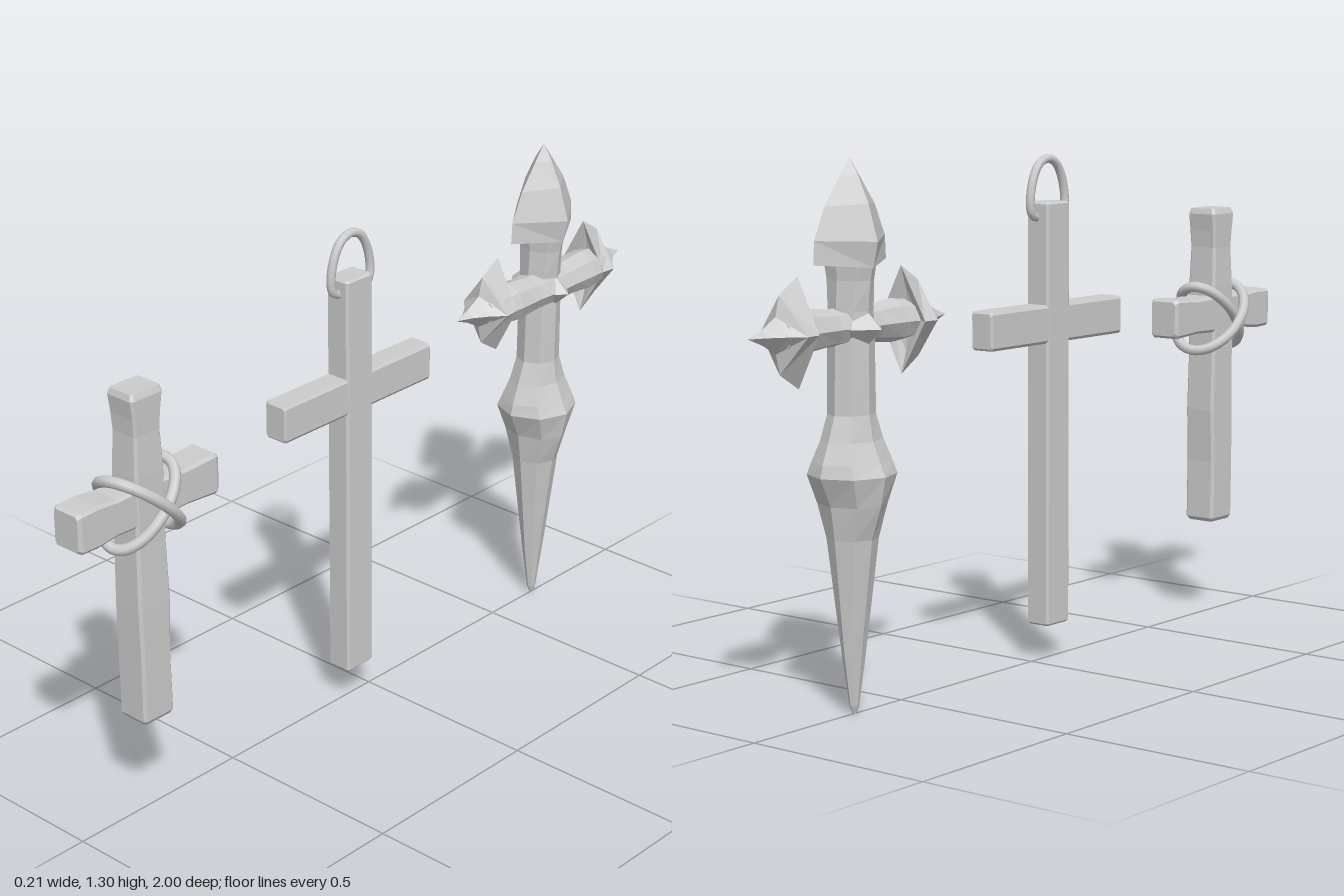
import * as THREE from 'three';

const material = new THREE.MeshStandardMaterial({ color: 0xcccccc, flatShading: true });
const smooth = new THREE.MeshStandardMaterial({ color: 0xcccccc });

const OCTAGON = Array.from({ length: 8 }, (_, i) => [Math.cos(i * Math.PI / 4), Math.sin(i * Math.PI / 4)]);
// Square section with chamfered corners
const BAR = [[1, -0.85], [1, 0.85], [0.85, 1], [-0.85, 1], [-1, 0.85], [-1, -0.85], [-0.85, -1], [0.85, -1]];

function add(parent, name, geometry, mat = material) {
  const mesh = new THREE.Mesh(geometry, mat);
  mesh.name = name;
  parent.add(mesh);
  return mesh;
}

function fromTriangles(points) {
  const g = new THREE.BufferGeometry();
  g.setAttribute('position', new THREE.Float32BufferAttribute(points.flat(), 3));
  g.computeVertexNormals();
  return g;
}

// Skins a section along y; stations are [y, halfX, halfZ, centreX, centreZ]
function loft(section, stations) {
  const rings = stations.map(([y, hx, hz, cx = 0, cz = 0]) =>
    section.map(([x, z]) => [cx + x * hx, y, cz + z * hz]));
  const tris = [];
  const n = section.length;
  for (let j = 0; j < n; j++) {
    const k = (j + 1) % n;
    for (let i = 0; i + 1 < rings.length; i++) {
      const a = rings[i], b = rings[i + 1];
      tris.push(a[j], b[j], a[k], a[k], b[j], b[k]);
    }
    const [y0, , , x0 = 0, z0 = 0] = stations[0];
    const [y1, , , x1 = 0, z1 = 0] = stations[stations.length - 1];
    const top = rings[rings.length - 1];
    tris.push([x0, y0, z0], rings[0][j], rings[0][k], [x1, y1, z1], top[k], top[j]);
  }
  return fromTriangles(tris);
}

// Barbed point: edge pairs are [z, y], raised ridge pairs are [x, y], tip first
function barbedHead(edge, ridge) {
  const tris = [];
  for (const sx of [1, -1]) for (const sz of [1, -1]) {
    for (let i = 0; i + 1 < edge.length; i++) {
      const r = [ridge[i], ridge[i + 1]].map(([x, y]) => [sx * x, y, 0]);
      const e = [edge[i], edge[i + 1]].map(([z, y]) => [0, y, sz * z]);
      const quad = [r[0], e[0], r[1], e[0], e[1], r[1]];
      tris.push(...(sx * sz > 0 ? quad : quad.reverse()));
    }
  }
  return fromTriangles(tris);
}

// Hewn cross tied with rope
function lashedCross() {
  const cross = new THREE.Group();
  cross.name = 'lashedCross';
  add(cross, 'uprightBeam', loft(BAR, [
    [0.255, 0.038, 0.042, 0.002, 0], [0.265, 0.044, 0.048, 0.002, 0], [0.42, 0.045, 0.046, 0.002, 0.002],
    [0.56, 0.044, 0.050, 0.002, 0], [0.72, 0.043, 0.046, 0.001, 0.001], [0.9, 0.043, 0.045, 0.002, 0],
    [1.0, 0.040, 0.040, 0.002, 0], [1.045, 0.042, 0.043, 0.002, 0], [1.09, 0.043, 0.049, 0.002, 0],
    [1.105, 0.037, 0.044, 0.002, 0]]));
  const beam = add(cross, 'crossBeam', loft(BAR, [
    [-0.22, 0.037, 0.045], [-0.21, 0.043, 0.052], [-0.12, 0.042, 0.046], [0, 0.041, 0.05],
    [0.1, 0.042, 0.046], [0.16, 0.043, 0.053], [0.21, 0.044, 0.051], [0.22, 0.038, 0.045]]));
  beam.rotation.x = Math.PI / 2;
  beam.position.y = 0.822;
  // Two diagonal loops of rope
  for (const s of [1, -1]) {
    const points = [];
    for (let i = 0; i < 16; i++) {
      const t = i * Math.PI / 8;
      const d = 0.118 * Math.sin(t);
      const w = 0.012 * Math.cos(t) * s;
      points.push(new THREE.Vector3((s > 0 ? 0.085 : 0.066) * Math.cos(t) + 0.003, d * 0.72 + w, s * d * 0.74 - w * s));
    }
    const curve = new THREE.CatmullRomCurve3(points, true);
    const rope = add(cross, 'ropeLoop', new THREE.TubeGeometry(curve, 48, 0.014, 8, true), smooth);
    rope.position.y = 0.812;
  }
  cross.position.z = 0.78;
  return cross;
}

// Plain pendant cross with hanging ring
function plainCross() {
  const cross = new THREE.Group();
  cross.name = 'plainCross';
  add(cross, 'uprightBar', loft(BAR, [[0.09, 0.029, 0.041], [0.095, 0.034, 0.046], [1.155, 0.034, 0.046], [1.16, 0.029, 0.041]]));
  const bar = add(cross, 'crossBar', loft(BAR, [[-0.263, 0.029, 0.043], [-0.258, 0.033, 0.048], [0.258, 0.033, 0.048], [0.263, 0.029, 0.043]]));
  bar.rotation.x = Math.PI / 2;
  bar.position.y = 0.857;
  const path = [[0, 1.122], [0.045, 1.122], [0.063, 1.132], [0.069, 1.16], [0.058, 1.215], [0.034, 1.253], [0, 1.266]];
  const loop = [...path, ...path.slice(1, -1).reverse().map(([z, y]) => [-z, y])]
    .map(([z, y]) => new THREE.Vector3(0.003, y, z));
  add(cross, 'hangingRing', new THREE.TubeGeometry(new THREE.CatmullRomCurve3(loop, true), 64, 0.011, 10, true), smooth);
  cross.position.z = 0.068;
  return cross;
}

// Ornate cross with a dagger foot and barbed ends
function daggerCross() {
  const cross = new THREE.Group();
  cross.name = 'daggerCross';
  add(cross, 'daggerBlade', loft(OCTAGON, [
    [0, 0.004, 0.005], [0.02, 0.010, 0.013], [0.14, 0.024, 0.032], [0.28, 0.042, 0.047], [0.42, 0.06, 0.062],
    [0.5, 0.088, 0.074], [0.57, 0.103, 0.107], [0.6, 0.088, 0.1], [0.65, 0.066, 0.08], [0.71, 0.055, 0.058],
    [0.87, 0.056, 0.054], [0.95, 0.055, 0.05], [1.02, 0.062, 0.046], [1.1, 0.08, 0.05], [1.15, 0.06, 0.04]]));
  add(cross, 'topHead', barbedHead(
    [[0, 1.3], [0.035, 1.255], [0.085, 1.19], [0.12, 1.115], [0.123, 1.06], [0.075, 1.09], [0.04, 1.1]],
    [[0, 1.3], [0.026, 1.26], [0.058, 1.195], [0.085, 1.11], [0.072, 1.05], [0.04, 1.08], [0, 1.1]]));
  const boss = add(cross, 'centreBoss', new THREE.OctahedronGeometry(1));
  boss.scale.set(0.095, 0.085, 0.1);
  boss.position.y = 0.91;

  for (const side of [1, -1]) {
    const arm = new THREE.Group();
    arm.name = side > 0 ? 'frontArm' : 'backArm';
    add(arm, 'armBar', loft(OCTAGON, [[0, 0.062, 0.044, 0.01], [0.07, 0.056, 0.044, 0.012],
      [0.15, 0.058, 0.052, 0.012], [0.21, 0.06, 0.045, 0.006], [0.24, 0.045, 0.035]]));
    add(arm, 'armHead', barbedHead(
      [[0, 0.335], [0.018, 0.29], [0.042, 0.248], [0.09, 0.236], [0.128, 0.175], [0.075, 0.192], [0.045, 0.2]],
      [[0, 0.335], [0.018, 0.29], [0.045, 0.25], [0.074, 0.22], [0.07, 0.18], [0.04, 0.192], [0, 0.2]]));
    arm.rotation.x = side * Math.PI / 2;
    arm.position.y = 0.912;
    cross.add(arm);
  }
  cross.position.z = -0.665;
  return cross;
}

export function createModel() {
  const model = new THREE.Group();
  model.name = 'threeCrosses';
  model.add(lashedCross(), plainCross(), daggerCross());
  return model;
}
